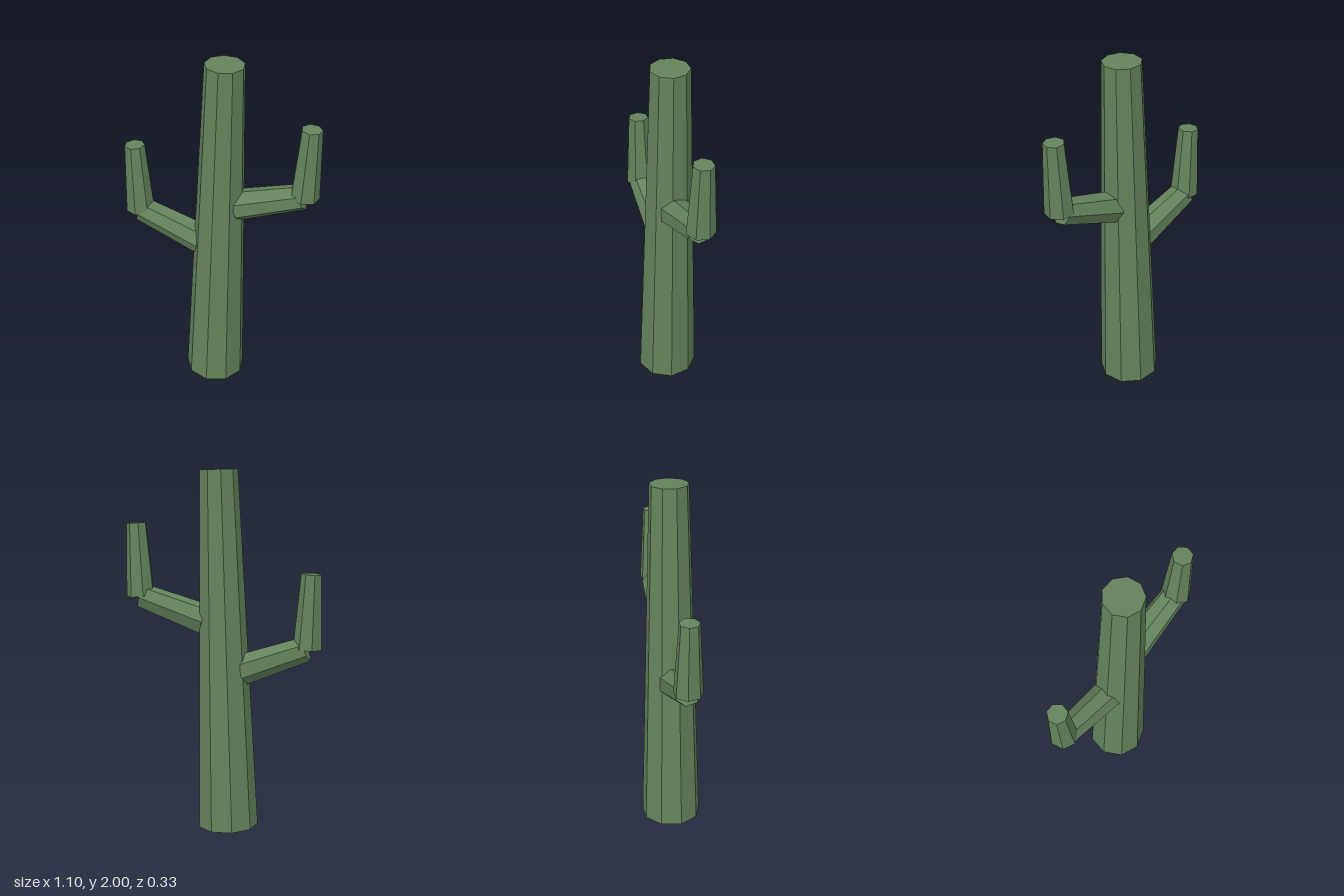
import * as THREE from 'three';

const cactusGreen = new THREE.MeshStandardMaterial({ color: 0x64835b });
cactusGreen.name = 'cactusGreen';

// Faceted, tapered stem between two points; turn spins its corners about the axis
function stem(name, from, to, r0, r1, sides, turn = 0) {
  const a = new THREE.Vector3(...from);
  const b = new THREE.Vector3(...to);
  const axis = b.clone().sub(a);
  const geometry = new THREE.CylinderGeometry(r1, r0, axis.length(), sides, 1, false, turn).toNonIndexed();
  geometry.computeVertexNormals();
  const mesh = new THREE.Mesh(geometry, cactusGreen);
  mesh.name = name;
  mesh.quaternion.setFromUnitVectors(new THREE.Vector3(0, 1, 0), axis.normalize());
  mesh.position.copy(a).add(b).multiplyScalar(0.5);
  return mesh;
}

export function createModel() {
  const cactus = new THREE.Group();
  cactus.name = 'cactus';
  cactus.add(
    // Leaning trunk
    stem('trunk', [-0.03, 0.005, -0.005], [0.025, 1.997, -0.003], 0.17, 0.106, 9),
    // Higher arm on the left side
    stem('leftBranch', [0.1, 1.175, -0.005], [0.461, 1.298, -0.005], 0.088, 0.071, 7, Math.PI),
    stem('leftUpright', [0.47, 1.3, -0.004], [0.49, 1.707, -0.004], 0.08, 0.056, 7),
    // Lower arm on the right side
    stem('rightBranch', [-0.11, 0.905, -0.005], [-0.465, 1.035, -0.005], 0.088, 0.071, 7),
    stem('rightUpright', [-0.473, 1.035, -0.004], [-0.49, 1.443, -0.004], 0.08, 0.056, 7),
  );
  return cactus;
}
